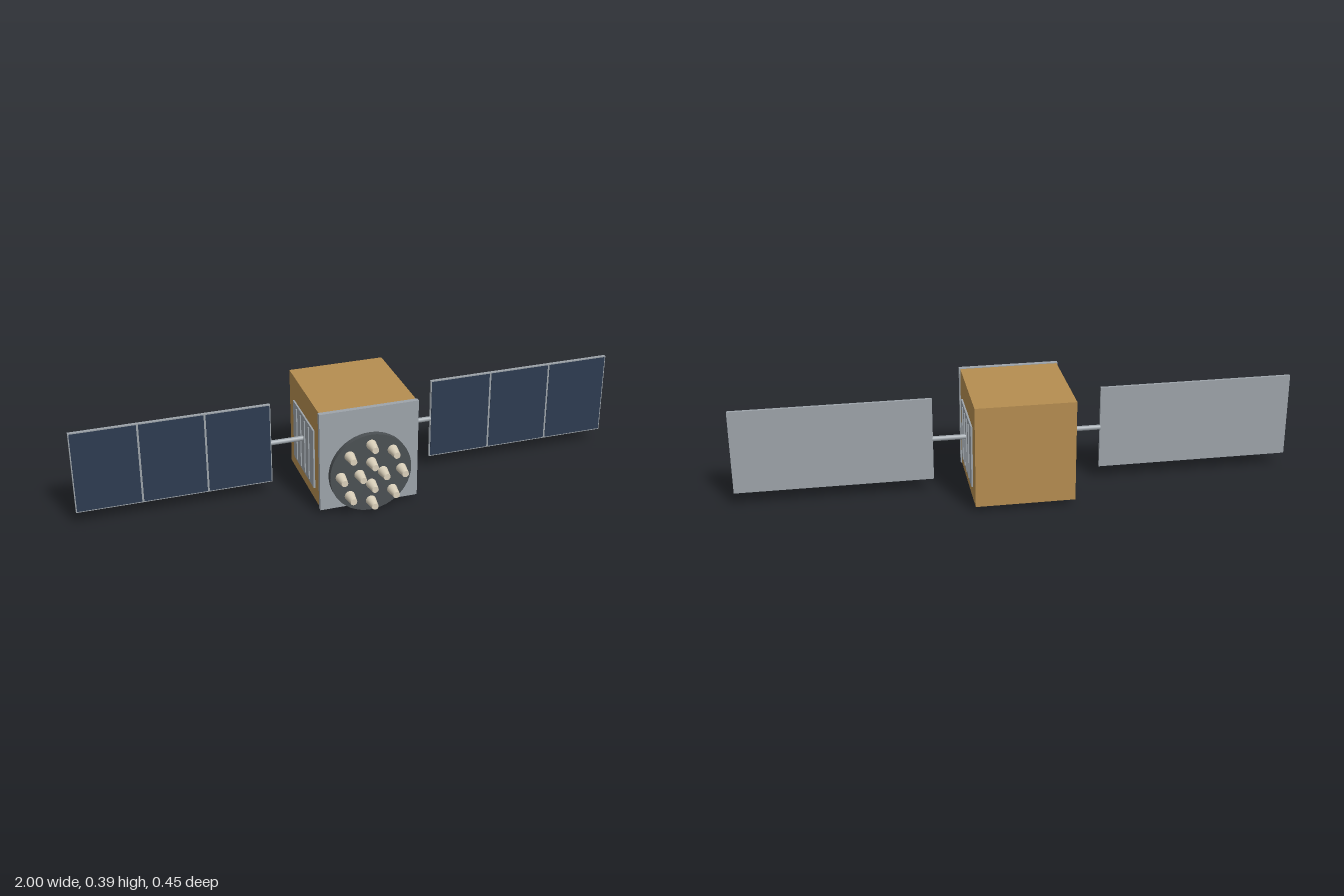
import * as THREE from 'three';

export function createModel() {
  const model = new THREE.Group();
  model.name = 'satellite';
  const paint = (name, color) => {
    const m = new THREE.MeshStandardMaterial({ color });
    m.name = name;
    return m;
  };
  const gold = paint('gold foil', 0xb58d50);
  const grey = paint('panel grey', 0x9da4aa);
  const navy = paint('solar navy', 0x2d3b50);
  const dark = paint('dark grey', 0x4b5053);
  const cream = paint('horn cream', 0xdad0ba);

  const add = (name, geometry, material, x, y, z, parent = model) => {
    const mesh = new THREE.Mesh(geometry, material);
    mesh.name = name;
    mesh.position.set(x, y, z);
    parent.add(mesh);
    return mesh;
  };
  const box = (name, w, h, d, material, x, y, z, parent) =>
    add(name, new THREE.BoxGeometry(w, h, d), material, x, y, z, parent);

  // Body and front plate
  box('body', 0.352, 0.37, 0.365, gold, 0, 0.206, -0.0425);
  box('frontPlate', 0.36, 0.374, 0.017, grey, 0, 0.206, 0.1485);

  // Antenna dish with an outer ring of eight horns and an inner ring of four
  const antenna = new THREE.Group();
  antenna.name = 'antenna';
  antenna.position.set(0, 0.15, 0);
  model.add(antenna);
  const disc = new THREE.CylinderGeometry(0.149, 0.149, 0.02, 48).rotateX(Math.PI / 2);
  add('antennaDisc', disc, dark, 0, 0, 0.167, antenna);
  const horn = new THREE.CylinderGeometry(0.012, 0.0185, 0.049, 20).rotateX(Math.PI / 2);
  for (const [count, radius] of [[8, 0.111], [4, 0.043]]) {
    for (let i = 0; i < count; i++) {
      const a = (i / count) * Math.PI * 2;
      add('horn', horn, cream, radius * Math.cos(a), radius * Math.sin(a), 0.201, antenna);
    }
  }

  // Radiators, booms and solar wings on both sides
  for (const side of [1, -1]) {
    const wing = new THREE.Group();
    wing.name = side > 0 ? 'leftWing' : 'rightWing';
    model.add(wing);

    box('radiator', 0.008, 0.228, 0.25, grey, side * 0.178, 0.184, -0.04, wing);
    for (let i = 0; i < 4; i++) {
      box('radiatorFin', 0.006, 0.204, 0.006, grey, side * 0.183, 0.184, -0.115 + i * 0.05, wing);
    }

    const boom = new THREE.CylinderGeometry(0.009, 0.009, 0.13, 16).rotateZ(Math.PI / 2);
    add('boom', boom, grey, side * 0.237, 0.207, -0.04, wing);

    box('solarPanel', 0.7, 0.308, 0.01, grey, side * 0.65, 0.207, -0.04, wing);
    for (let i = 0; i < 3; i++) {
      box('solarCell', 0.226, 0.3, 0.002, navy, side * (0.4167 + i * 0.2333), 0.207, -0.0345, wing);
    }
  }
  return model;
}
